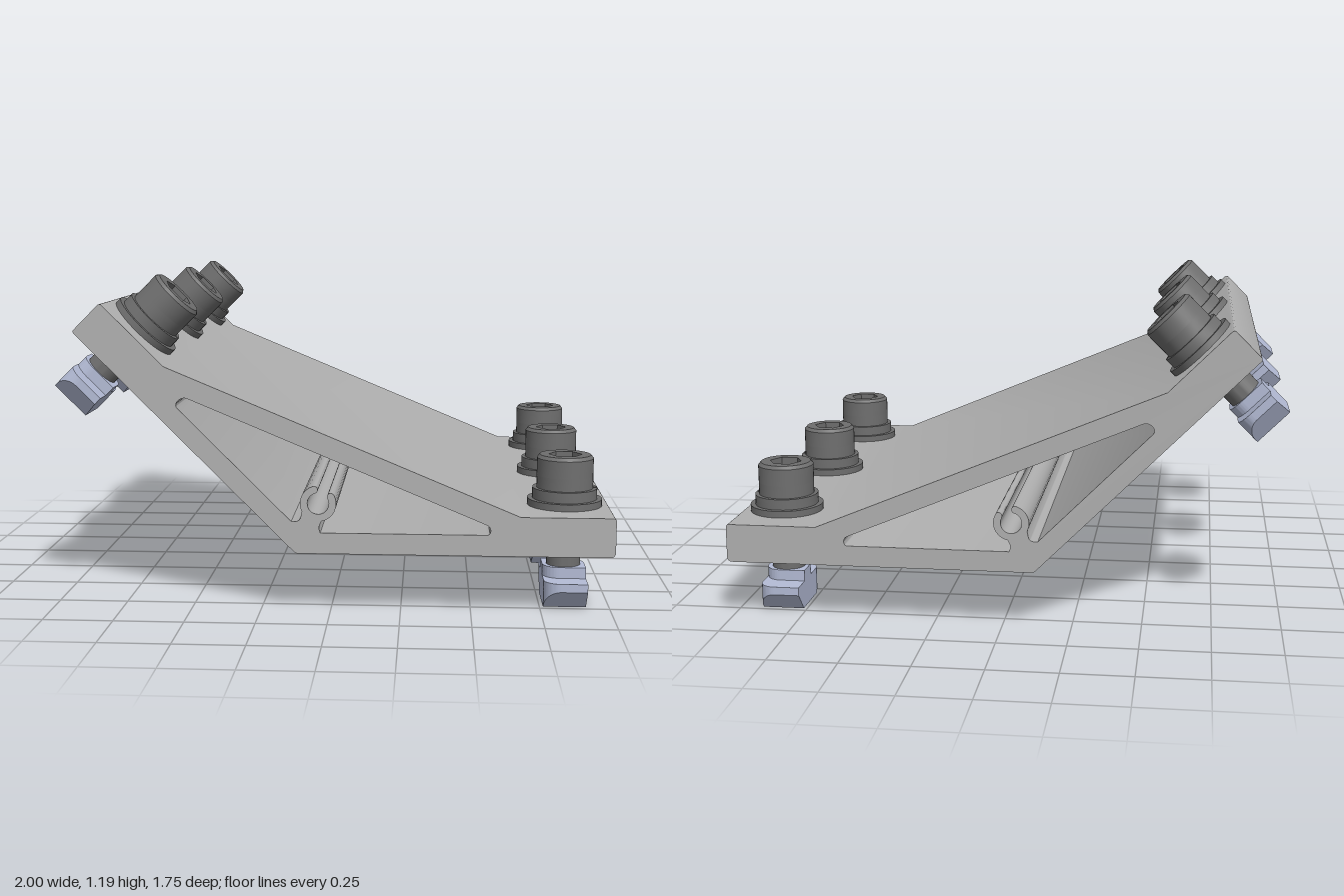
import * as THREE from 'three';
import { toCreasedNormals } from 'three/addons/utils/BufferGeometryUtils.js';

const grey = new THREE.MeshStandardMaterial({ color: 0xb0b0b0 });
grey.name = 'bracketGrey';
const steel = new THREE.MeshStandardMaterial({ color: 0x6e6e6e });
steel.name = 'darkSteel';
const zinc = new THREE.MeshStandardMaterial({ color: 0xb4bcd6 });
zinc.name = 'blueZinc';

const DEPTH = 1.75;

function mesh(name, geometry, material) {
  const m = new THREE.Mesh(toCreasedNormals(geometry, 0.5), material);
  m.name = name;
  return m;
}

// Polygon with rounded corners; each point is [x, y, radius]
function rounded(points, Type = THREE.Shape) {
  const path = new Type();
  const v = points.map(([x, y]) => new THREE.Vector2(x, y));
  const n = v.length;
  v.forEach((p, i) => {
    const r = points[i][2] || 0;
    const a = p.clone().add(v[(i + n - 1) % n].clone().sub(p).setLength(r));
    const b = p.clone().add(v[(i + 1) % n].clone().sub(p).setLength(r));
    if (i === 0) path.moveTo(a.x, a.y);
    else path.lineTo(a.x, a.y);
    // control points at 0.55 make a near-circular corner
    if (r) {
      const c = a.clone().lerp(p, 0.55), d = b.clone().lerp(p, 0.55);
      path.bezierCurveTo(c.x, c.y, d.x, d.y, b.x, b.y);
    }
  });
  path.closePath();
  return path;
}

// Profile in the xy plane run along z
function profile(shape) {
  const g = new THREE.ExtrudeGeometry(shape, { depth: DEPTH, bevelEnabled: false, curveSegments: 10 });
  return g.translate(0, 0, -DEPTH / 2);
}

// Plan shape (x, z) raised from y0 to y1
function slab(shape, y0, y1) {
  const g = new THREE.ExtrudeGeometry(shape, { depth: y1 - y0, bevelEnabled: false, curveSegments: 20 });
  return g.rotateX(Math.PI / 2).translate(0, y1, 0);
}

function drum(r0, r1, y0, y1, open = false) {
  return new THREE.CylinderGeometry(r1, r0, y1 - y0, 40, 1, open).translate(0, (y0 + y1) / 2, 0);
}

function circleHole(r) {
  return new THREE.Path().absarc(0, 0, r, 0, Math.PI * 2, true);
}

function createBracket() {
  const g = new THREE.Group();
  g.name = 'bracket';

  // Angled body with a triangular window
  const body = rounded([
    [-0.12, 0.22, 0.008], [1, 0.22, 0.018], [1, 0.36, 0.01], [0.67, 0.36], [-0.58, 0.88],
    [-0.8, 1.1, 0.01], [-0.9, 1, 0.01],
  ]);
  body.holes.push(rounded([
    [-0.095, 0.295], [0.565, 0.295, 0.013], [0.565, 0.325, 0.013],
    [-0.515, 0.775, 0.018], [-0.545, 0.745, 0.018],
  ], THREE.Path));
  g.add(mesh('bracketBody', profile(body), grey));

  // Open C-shaped channel with round lips
  const cx = -0.04, cy = 0.4, R = 0.064, r = 0.038, mid = (R + r) / 2;
  const a0 = 1.85, a1 = 2 * Math.PI + 0.5;
  const clip = new THREE.Shape();
  clip.absarc(cx, cy, R, a0, a1, false);
  clip.absarc(cx + mid * Math.cos(a1), cy + mid * Math.sin(a1), (R - r) / 2, a1, a1 + Math.PI, false);
  clip.absarc(cx, cy, r, a1, a0, true);
  clip.absarc(cx + mid * Math.cos(a0), cy + mid * Math.sin(a0), (R - r) / 2, a0 + Math.PI, a0 + 2 * Math.PI, false);
  g.add(mesh('channelClip', profile(clip), grey));

  // Web joining the channel to the corner
  const web = rounded([
    [-0.145, 0.335], [-0.1, 0.288], [-0.03, 0.288], [-0.039, 0.315, 0.01], [-0.025, 0.343],
    [-0.04, 0.355], [-0.075, 0.37], [-0.095, 0.38], [-0.105, 0.335, 0.015],
  ]);
  g.add(mesh('channelWeb', profile(web), grey));
  return g;
}

// Hammer nut standing on y = 0, two opposite corners rounded
function createNut() {
  const g = new THREE.Group();
  g.name = 'slotNut';
  const w = 0.077, inner = 0.09, outer = 0.153, rise = 0.07;

  const core = rounded([[-w, -inner], [w, -inner], [w, inner], [-w, inner]]);
  core.holes.push(circleHole(0.06));
  g.add(mesh('nutCore', slab(core, 0, 0.1), zinc));

  const neck = rounded([[-w, -0.07], [w, -0.07, 0.06], [w, 0.07], [-w, 0.07, 0.06]]);
  neck.holes.push(circleHole(0.06));
  g.add(mesh('nutNeck', slab(neck, 0.1, 0.14), zinc));

  // Wings with a sloping underside
  const wing = slab(rounded([[-w, inner], [w, inner], [w, outer], [-w, outer, 0.06]]), 0, 0.1);
  const p = wing.attributes.position;
  for (let i = 0; i < p.count; i++) {
    if (p.getY(i) < 0.05) p.setY(i, (p.getZ(i) - inner) * rise / (outer - inner));
  }
  for (const turn of [0, Math.PI]) {
    const m = mesh('nutWing', wing, zinc);
    m.rotation.y = turn;
    g.add(m);
  }
  return g;
}

// Socket-head screw with flat and split washers
function createScrew() {
  const g = new THREE.Group();
  g.name = 'screw';
  g.add(mesh('shank', drum(0.062, 0.062, 0.04, 0.37), steel));
  g.add(mesh('flatWasher', drum(0.135, 0.135, 0.36, 0.385), steel));

  const split = new THREE.Shape();
  split.absarc(0, 0, 0.117, 0.06, Math.PI * 2 - 0.06, false);
  split.absarc(0, 0, 0.065, Math.PI * 2 - 0.1, 0.1, true);
  g.add(mesh('splitWasher', slab(split, 0.385, 0.424), steel));

  g.add(mesh('headBase', drum(0.102, 0.102, 0.42, 0.47), steel));
  g.add(mesh('headSide', drum(0.102, 0.102, 0.47, 0.533, true), steel));
  g.add(mesh('headEdge', drum(0.102, 0.092, 0.533, 0.545, true), steel));

  const top = new THREE.Shape().absarc(0, 0, 0.092, 0, Math.PI * 2, false);
  const hex = [];
  for (let i = 0; i < 6; i++) {
    hex.push([0.06 * Math.cos(i * Math.PI / 3), 0.06 * Math.sin(i * Math.PI / 3)]);
  }
  top.holes.push(rounded(hex, THREE.Path));
  g.add(mesh('hexSocket', slab(top, 0.47, 0.545), steel));
  return g;
}

export function createModel() {
  const model = new THREE.Group();
  model.name = 'angleBracket';
  model.add(createBracket());

  // Three fasteners through each flange
  const rows = [
    { name: 'lowerFastener', x: 0.84, y: 0, tilt: 0 },
    { name: 'upperFastener', x: -0.949, y: 0.738, tilt: -Math.PI / 4 },
  ];
  for (const row of rows) {
    for (const z of [-0.637, 0, 0.637]) {
      const f = new THREE.Group();
      f.name = row.name;
      f.add(createNut(), createScrew());
      f.position.set(row.x, row.y, z);
      f.rotation.z = row.tilt;
      model.add(f);
    }
  }
  return model;
}
